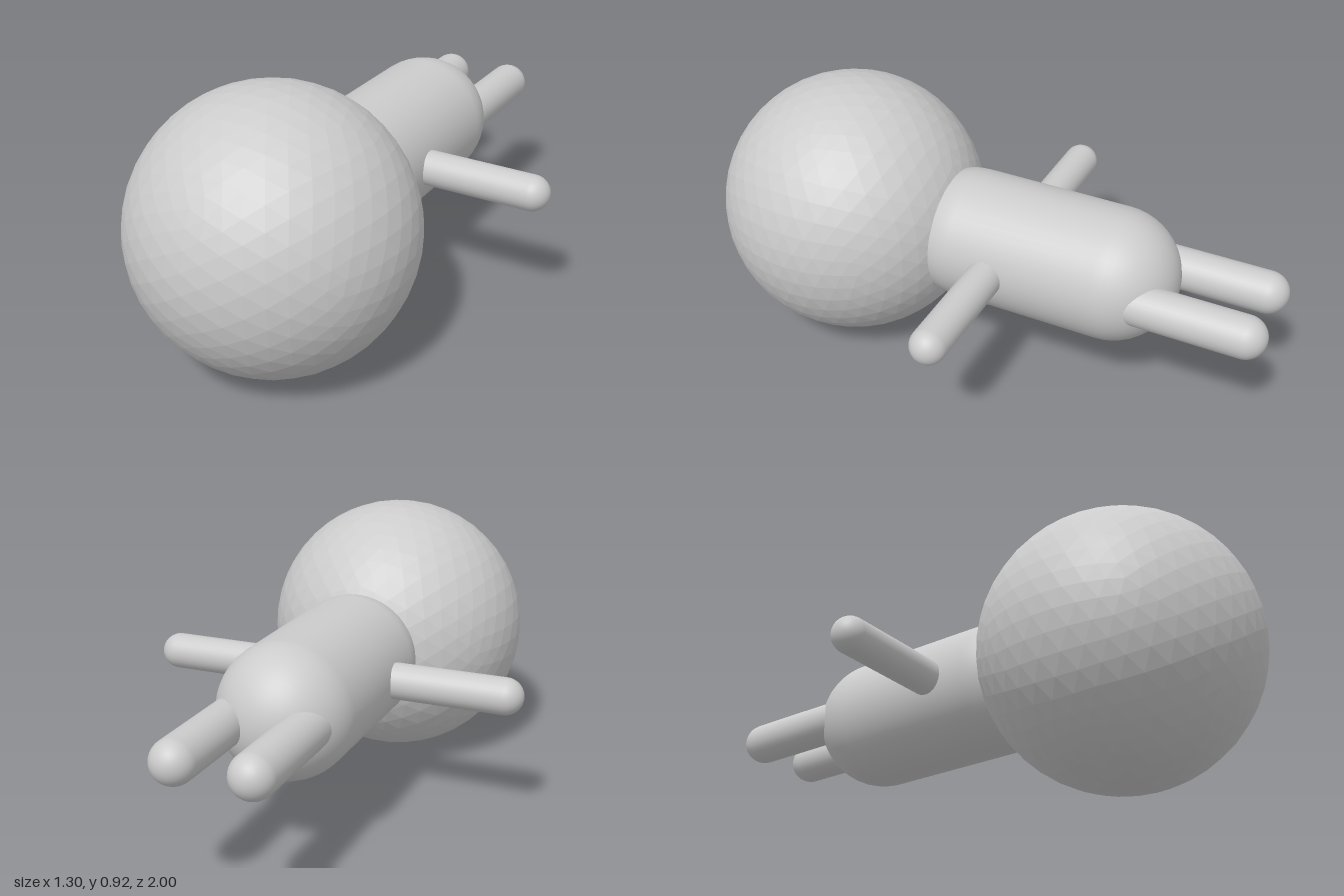
import * as THREE from 'three';

const Y = 0.464; // shared height of every part's axis

export function createModel() {
  const group = new THREE.Group();
  const smooth = new THREE.MeshStandardMaterial({ color: 0xcccccc });
  const faceted = new THREE.MeshStandardMaterial({ color: 0xcccccc, flatShading: true });

  // Capsule between two points, round ends included in the given span
  function capsule(name, radius, from, to, segments) {
    const axis = to.clone().sub(from);
    const length = axis.length() - 2 * radius;
    const mesh = new THREE.Mesh(new THREE.CapsuleGeometry(radius, length, 12, segments), smooth);
    mesh.name = name;
    mesh.position.copy(from).add(to).multiplyScalar(0.5);
    mesh.quaternion.setFromUnitVectors(new THREE.Vector3(0, 1, 0), axis.normalize());
    group.add(mesh);
  }

  // Faceted ball head
  const head = new THREE.Mesh(new THREE.IcosahedronGeometry(0.461, 7), faceted);
  head.name = 'head';
  head.position.set(0, Y, 0.539);
  group.add(head);

  // Body lying along z, its front end sunk into the head
  capsule('body', 0.224, new THREE.Vector3(0, Y, 0.29), new THREE.Vector3(0, Y, -0.67), 48);

  // Mirrored arms and legs, rooted inside the body
  for (const [side, s] of [['left', 1], ['right', -1]]) {
    capsule(side + 'Arm', 0.061, new THREE.Vector3(s * 0.1, Y, -0.08), new THREE.Vector3(s * 0.652, Y, -0.08), 32);
    capsule(side + 'Leg', 0.071, new THREE.Vector3(s * 0.124, Y, -0.4), new THREE.Vector3(s * 0.124, Y, -1), 32);
  }

  return group;
}
